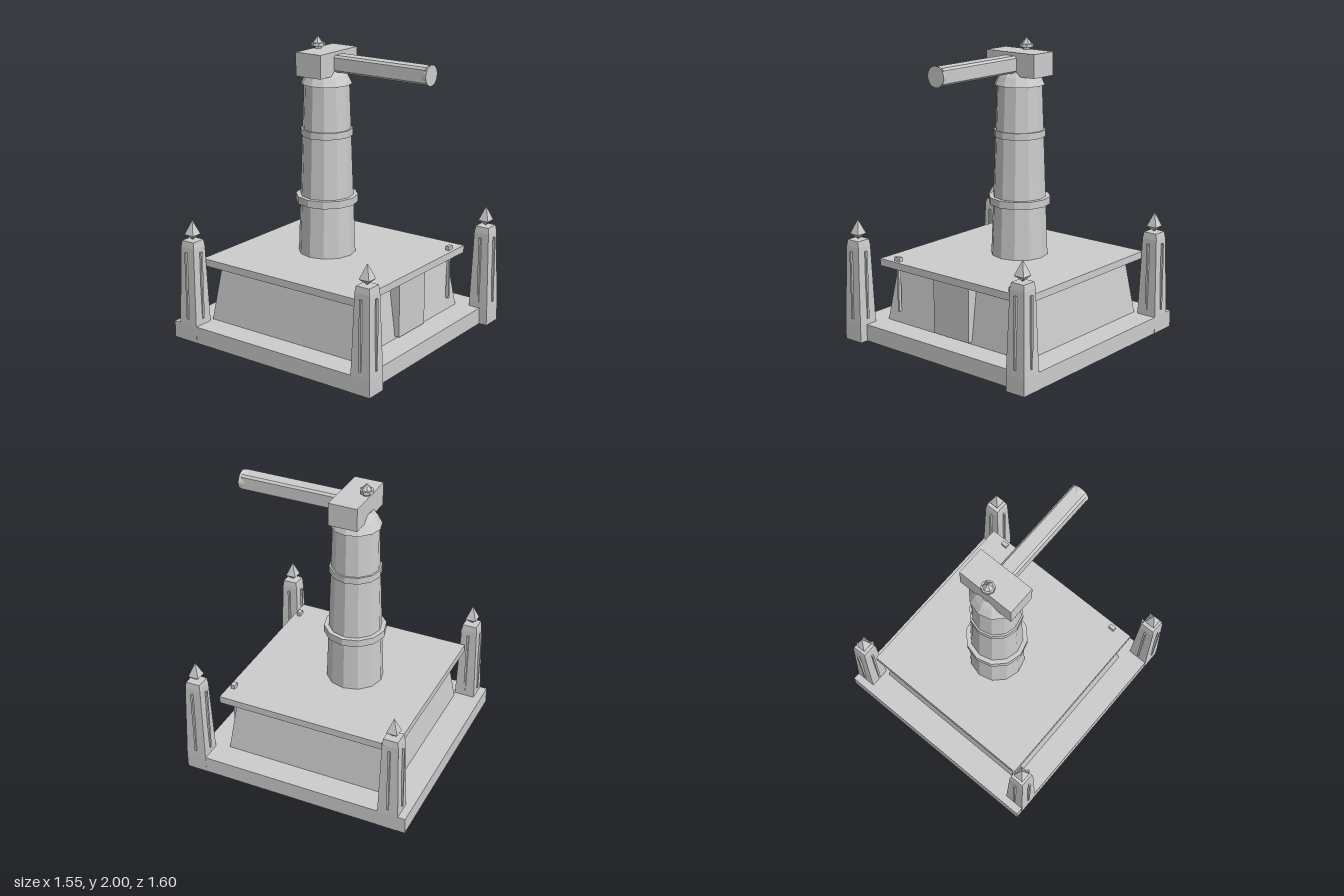
import * as THREE from 'three';

const stone = new THREE.MeshStandardMaterial({
  color: 0xcccccc, flatShading: true, side: THREE.DoubleSide });
stone.name = 'pale grey stone';

export function createModel() {
  const model = new THREE.Group();
  model.name = 'towerMonument';

  const add = (parent, name, geometry, x = 0, y = 0, z = 0) => {
    const mesh = new THREE.Mesh(geometry, stone);
    mesh.name = name;
    mesh.position.set(x, y, z);
    parent.add(mesh);
    return mesh;
  };
  // Box given by its limits
  const box = (parent, name, x0, x1, y0, y1, z0, z1) =>
    add(parent, name, new THREE.BoxGeometry(x1 - x0, y1 - y0, z1 - z0),
      (x0 + x1) / 2, (y0 + y1) / 2, (z0 + z1) / 2);
  // Round or faceted solid from [radius, height] pairs
  const turned = (profile, sides) =>
    new THREE.LatheGeometry(profile.map(([r, y]) => new THREE.Vector2(r, y)), sides);
  // Square solid from [half width, height] pairs
  const squared = (profile) =>
    turned(profile.map(([w, y]) => [w * Math.SQRT2, y]), 4).rotateY(Math.PI / 4);

  // Plinth, a shell open underneath
  const plinth = squared([[1, 0], [1, 0.115], [0, 0.115]]);
  plinth.scale(0.77, 1, 0.7675);
  add(model, 'plinth', plinth, 0, 0, -0.0325);

  // Sloping hall and roof slab
  const hall = squared([[0, 0.107], [1, 0.107], [0.91, 0.505], [0, 0.505]]);
  hall.scale(0.598, 1, 0.588);
  add(model, 'hall', hall, 0, 0, -0.027);
  box(model, 'roofSlab', -0.625, 0.625, 0.496, 0.545, -0.66, 0.6);

  // Door block and the hanging rods beside it
  box(model, 'door', -0.15, 0.15, 0.13, 0.5, 0.5, 0.59);
  for (const side of [-1, 1]) {
    const x = side * 0.49;
    box(model, 'hangingRod', x - 0.007, x + 0.007, 0.195, 0.5, 0.55, 0.572);
    box(model, 'rodCap', x - 0.022, x + 0.022, 0.545, 0.573, 0.55, 0.577);
  }

  // Corner posts with a slim rod standing at each face and a pointed finial
  for (const x of [-0.7, 0.7]) {
    for (const z of [-0.678, 0.722]) {
      const post = new THREE.Group();
      post.name = 'cornerPost';
      post.position.set(x, 0, z);
      model.add(post);
      add(post, 'postShaft', squared([
        [0, 0], [0.071, 0], [0.071, 0.115], [0.055, 0.65], [0.049, 0.693], [0, 0.693]]));
      add(post, 'postFinial', squared([[0, 0.695], [0.037, 0.732], [0, 0.83]]));
      for (let i = 0; i < 4; i++) {
        const rod = new THREE.BoxGeometry(0.014, 0.465, 0.014).translate(0, 0.388, 0.07);
        add(post, 'postRod', rod.rotateY(i * Math.PI / 2));
      }
    }
  }

  // Twelve-sided tower with two bands and a sloping cap
  const tower = new THREE.Group();
  tower.name = 'tower';
  tower.position.z = -0.1;
  model.add(tower);
  add(tower, 'towerShaft', turned([[0.192, 0.54], [0.15, 1.7], [0, 1.7]], 12));
  for (const [r, y0, y1] of [[0.208, 0.896, 0.946], [0.173, 1.352, 1.398]]) {
    add(tower, 'towerBand', new THREE.CylinderGeometry(r, r, y1 - y0, 12), 0, (y0 + y1) / 2, 0);
  }
  add(tower, 'towerCap', turned([
    [0, 1.697], [0.168, 1.697], [0.138, 1.757], [0.105, 1.803], [0, 1.803]], 12));

  // Head block
  box(model, 'headBlock', -0.2, 0.2, 1.762, 1.917, -0.197, 0);

  // Square barrel with trimmed edges, and the round flare at its end
  const w = 0.055, c = 0.041;
  const section = new THREE.Shape([
    [w, -c], [w, c], [c, w], [-c, w], [-w, c], [-w, -c], [-c, -w], [c, -w],
  ].map(([x, y]) => new THREE.Vector2(x, y)));
  add(model, 'barrel',
    new THREE.ExtrudeGeometry(section, { depth: 0.71, bevelEnabled: false }), 0, 1.84, -0.02);
  const flare = new THREE.CylinderGeometry(0.067, 0.05, 0.06, 20).rotateX(Math.PI / 2);
  add(model, 'barrelFlare', flare, 0, 1.84, 0.672);

  // Small finial on the head block
  add(model, 'finialCollar', turned([
    [0.024, 1.912], [0.024, 1.933], [0.045, 1.933], [0.045, 1.956], [0, 1.956]], 8), 0, 0, -0.17);
  add(model, 'finialPoint', turned([[0.035, 1.956], [0, 2]], 6), 0, 0, -0.17);

  return model;
}
